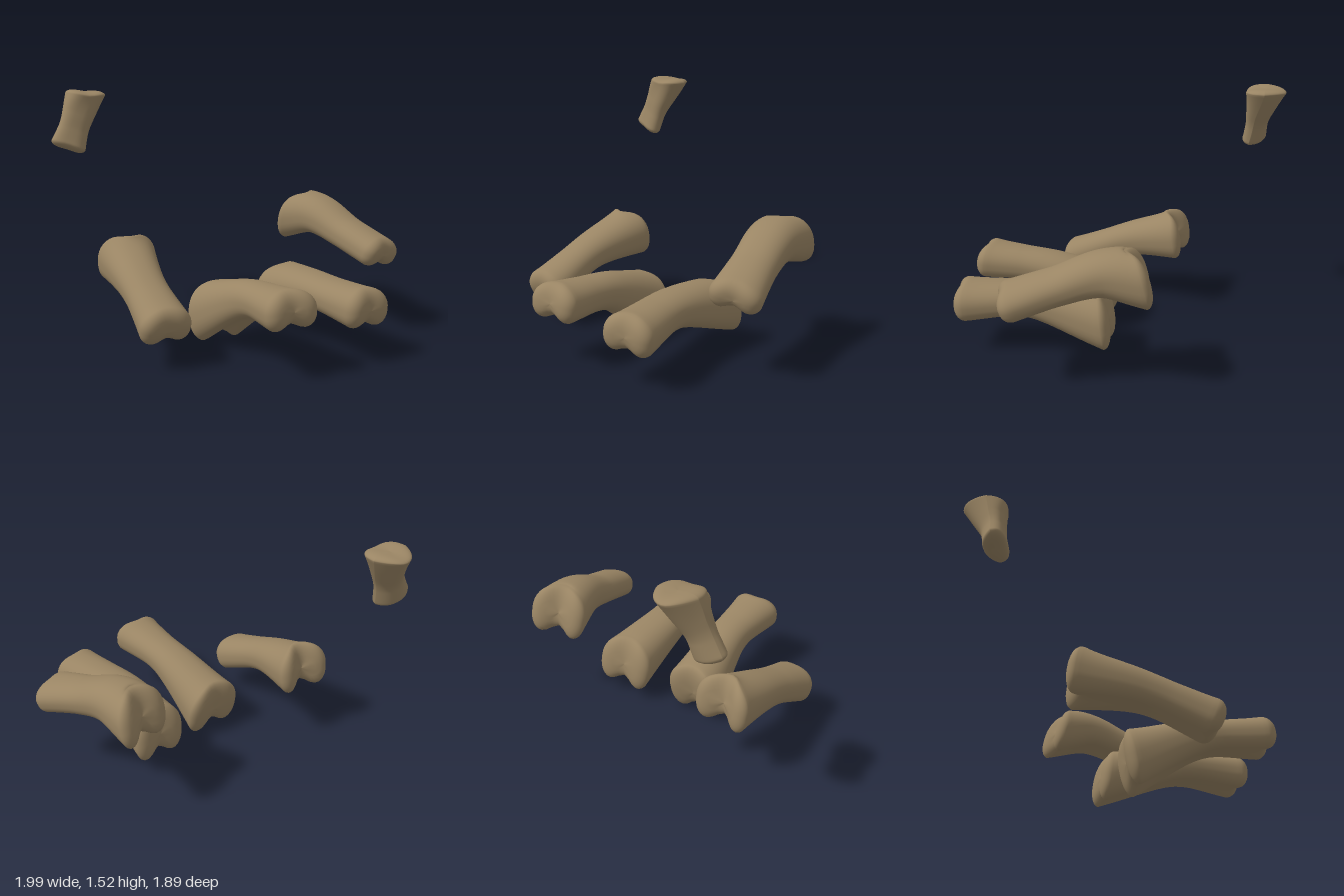
import * as THREE from 'three';

const AROUND = 40, ALONG = 30, CAP_STEPS = 8;

const power = (v, p) => Math.sign(v) * Math.abs(v) ** p;

// Shaft size at t: a slim waist that flares into the base and the head
function flare([base, waist, head], t) {
  return waist + (base - waist) * Math.max(0, 1 - t / 0.7) ** 1.5
    + (head - waist) * Math.max(0, 1 - (1 - t) / 0.5) ** 1.5;
}

// Rings along the shaft, with a rounded cap at each end
function makeRings(capDepth) {
  const rings = [];
  for (let i = CAP_STEPS; i > 0; i--) {
    const a = (i / CAP_STEPS) * Math.PI / 2;
    rings.push({ t: 0, shrink: Math.cos(a), out: -0.8 * capDepth * Math.sin(a) });
  }
  for (let i = 0; i <= ALONG; i++) rings.push({ t: i / ALONG, shrink: 1, out: 0 });
  for (let i = 1; i <= CAP_STEPS; i++) {
    const a = (i / CAP_STEPS) * Math.PI / 2;
    rings.push({ t: 1, shrink: Math.cos(a), out: capDepth * Math.sin(a) });
  }
  return rings;
}

// points, widths and heights run from base to head; sides point across the bone at each end,
// and baseAxis is the direction the base joint face is square to
function boneGeometry({ points, widths, heights, sides, baseAxis, baseDish, headDish, groove, dome = 0.95, capDepth = 0.075 }) {
  const path = new THREE.CatmullRomCurve3(points.map(p => new THREE.Vector3(...p)));
  const [sideA, sideB] = sides.map(s => new THREE.Vector3(...s));
  const faceAxis = new THREE.Vector3(...baseAxis).normalize();
  const rings = makeRings(capDepth);
  const positions = [], index = [];

  for (const { t, shrink, out } of rings) {
    const center = path.getPoint(t);
    const along = path.getTangent(t).lerp(faceAxis, Math.max(0, 1 - t / 0.4)).normalize();
    const across = sideA.clone().lerp(sideB, t);
    across.addScaledVector(along, -across.dot(along)).normalize();
    const up = along.clone().cross(across);
    // Joint ends stay square across but round over from top to bottom
    const wide = shrink ** 0.5, tall = shrink ** 0.8;
    const width = flare(widths, t), height = flare(heights, t);
    // Underside groove, deepest between the two knobs of each joint
    const depth = flare([groove, 0.1 * groove, 0.55 * groove], t);
    // Both joint faces are dished between their knobs
    const dish = baseDish * Math.max(0, 1 - t / 0.25) ** 2
      - headDish * Math.max(0, 1 - (1 - t) / 0.25) ** 2;

    for (let j = 0; j < AROUND; j++) {
      const a = (j / AROUND) * Math.PI * 2, s = Math.sin(a);
      const below = s < 0;
      const u = power(Math.cos(a), below ? 0.75 : 0.9);
      let v = power(s, below ? 0.75 : dome) * height;
      if (below) v -= depth * s * Math.exp(-((u / 0.42) ** 2));
      center.clone()
        .addScaledVector(across, u * width * wide)
        .addScaledVector(up, v * tall)
        .addScaledVector(along, out + dish * Math.exp(-((u * wide / 0.45) ** 2)))
        .toArray(positions, positions.length);
    }
  }
  for (let i = 0; i < rings.length - 1; i++) {
    for (let j = 0; j < AROUND; j++) {
      const a = i * AROUND + j, b = i * AROUND + (j + 1) % AROUND;
      index.push(a, b, a + AROUND, b, b + AROUND, a + AROUND);
    }
  }
  const geometry = new THREE.BufferGeometry();
  geometry.setAttribute('position', new THREE.Float32BufferAttribute(positions, 3));
  geometry.setIndex(index);
  geometry.computeVertexNormals();
  return geometry;
}

export function createModel() {
  const group = new THREE.Group();
  group.name = 'fingerBones';
  const material = new THREE.MeshStandardMaterial({ color: 0x9a8564 });
  material.name = 'bone';

  function addBone(name, shape) {
    const mesh = new THREE.Mesh(boneGeometry(shape), material);
    mesh.name = name;
    group.add(mesh);
  }

  addBone('indexFingerBone', {
    points: [[-0.635, 0.49, -0.27], [-0.645, 0.41, 0.1], [-0.62, 0.26, 0.465]],
    widths: [0.187, 0.13, 0.155], heights: [0.168, 0.1, 0.12],
    sides: [[1, 0, 0], [1, 0, 0]], baseAxis: [0, -0.15, 1],
    baseDish: 0.07, headDish: 0.015, groove: 0.08,
  });
  addBone('middleFingerBone', {
    points: [[-0.15, 0.175, 0.07], [-0.08, 0.355, 0.47], [-0.035, 0.395, 0.87]],
    widths: [0.195, 0.127, 0.167], heights: [0.2, 0.1, 0.12],
    sides: [[1, 0, 0], [1, 0, -0.08]], baseAxis: [0.1, 0.2, 1],
    baseDish: 0.03, headDish: 0.025, groove: 0.09,
  });
  addBone('ringFingerBone', {
    points: [[0.35, 0.24, -0.06], [0.387, 0.335, 0.37], [0.49, 0.322, 0.785]],
    widths: [0.19, 0.14, 0.16], heights: [0.185, 0.097, 0.125],
    sides: [[1, 0.1, -0.22], [1, -0.08, -0.1]], baseAxis: [0.2, -0.15, 1],
    baseDish: 0.03, headDish: 0.02, groove: 0.08,
  });
  addBone('littleFingerBone', {
    points: [[0.637, 0.66, -0.375], [0.69, 0.685, -0.17], [0.765, 0.605, 0.08], [0.85, 0.52, 0.325]],
    widths: [0.19, 0.137, 0.155], heights: [0.178, 0.1, 0.1],
    sides: [[1, 0.1, -0.38], [1, -0.15, -0.4]], baseAxis: [0.35, -0.25, 0.9],
    baseDish: 0.05, headDish: 0.02, groove: 0.08,
  });
  addBone('thumbBone', {
    points: [[-0.75, 1.495, -0.81], [-0.825, 1.32, -0.757], [-0.885, 1.168, -0.73]],
    widths: [0.13, 0.095, 0.115], heights: [0.13, 0.068, 0.07],
    sides: [[-1, 0, 0.05], [-1, 0, -0.15]], baseAxis: [-0.08, -1, 0],
    baseDish: 0.01, headDish: 0.005, groove: 0, dome: 1.8, capDepth: 0.035,
  });
  return group;
}
